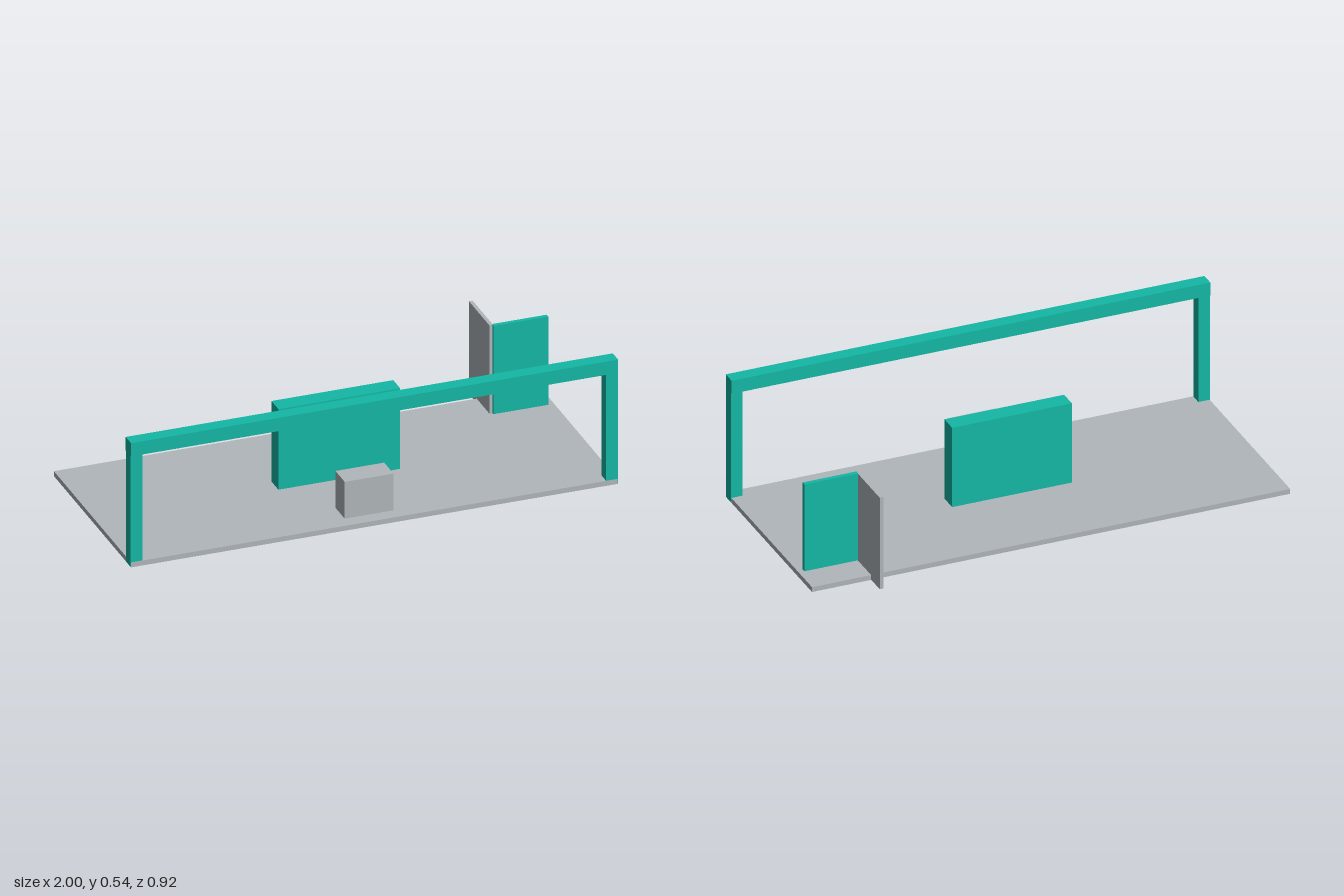
import * as THREE from 'three';

export function createModel() {
  const model = new THREE.Group();
  const teal = new THREE.MeshStandardMaterial({ name: 'teal', color: 0x14b8a6 });
  const grey = new THREE.MeshStandardMaterial({ name: 'paleGrey', color: 0xb0b6ba });

  // Box given by its extents along each axis
  function block(name, material, [x0, x1], [y0, y1], [z0, z1]) {
    const mesh = new THREE.Mesh(new THREE.BoxGeometry(x1 - x0, y1 - y0, z1 - z0), material);
    mesh.position.set((x0 + x1) / 2, (y0 + y1) / 2, (z0 + z1) / 2);
    mesh.name = name;
    model.add(mesh);
  }

  // Floor slab
  block('floor', grey, [-0.999, 0.999], [0, 0.021], [-0.375, 0.457]);

  // Front gateway: two posts carrying a beam
  block('rightPost', teal, [-1, -0.952], [0.001, 0.478], [0.407, 0.456]);
  block('leftPost', teal, [0.952, 1], [0.001, 0.478], [0.407, 0.456]);
  block('beam', teal, [-1, 1], [0.478, 0.535], [0.402, 0.459]);

  // Counter and the display wall behind it
  block('counter', grey, [-0.1, 0.1], [0.02, 0.179], [0.3, 0.4]);
  block('displayWall', teal, [-0.25, 0.25], [0.02, 0.367], [0.004, 0.079]);

  // Corner partition at the back left; its side panel overhangs the floor
  block('partitionFront', teal, [0.75, 0.975], [0.02, 0.4], [-0.246, -0.228]);
  block('partitionSide', grey, [0.737, 0.752], [0.001, 0.4], [-0.459, -0.238]);

  return model;
}
